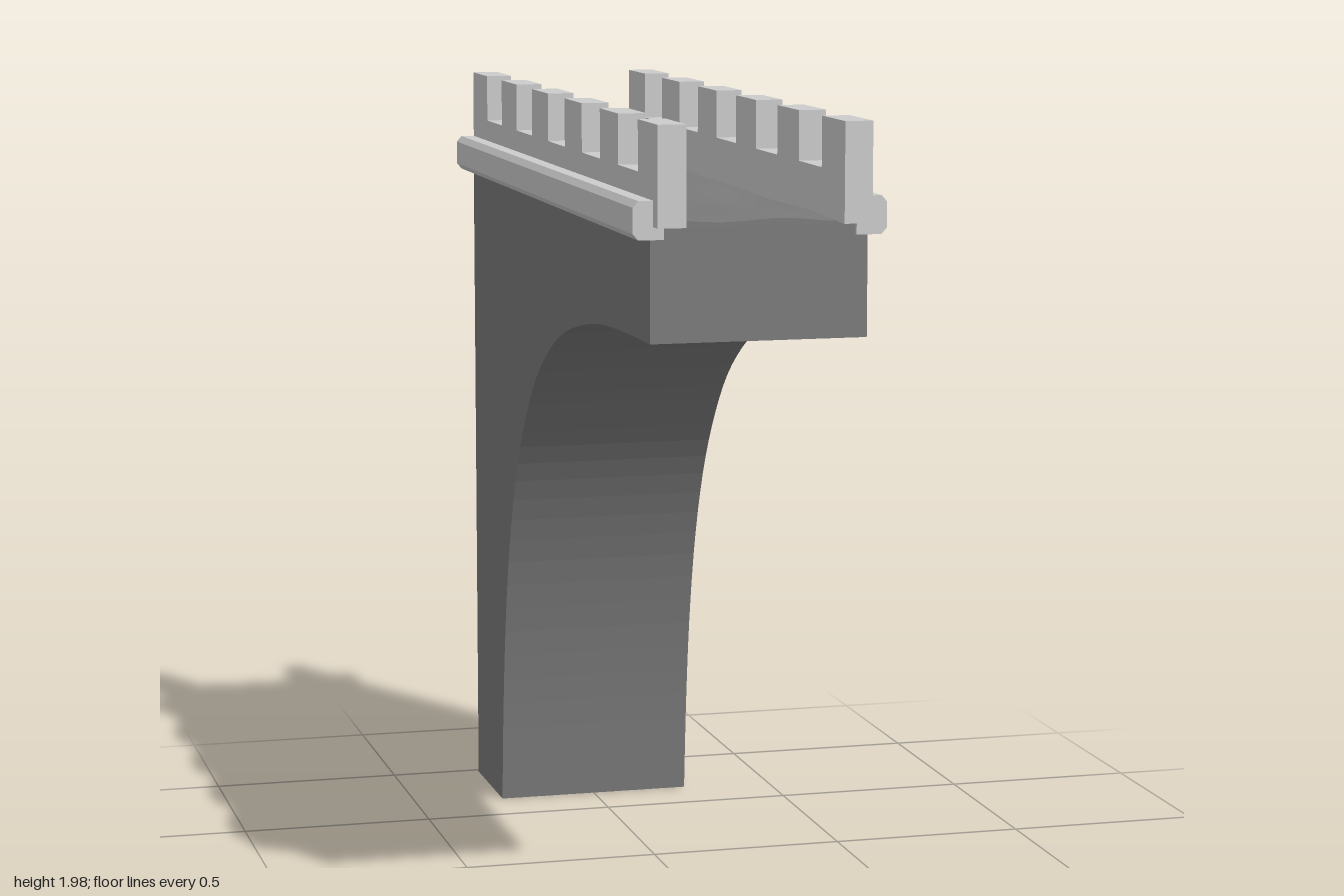
import * as THREE from 'three';

const trim = new THREE.MeshStandardMaterial({ color: 0xcccccc });
const stone = new THREE.MeshStandardMaterial({ color: 0x7a7a7a });

// Extrude a side outline given in (z, y) across x, from x0 to x1
function sideExtrude(points, x0, x1) {
  const shape = new THREE.Shape(points.map(([z, y]) => new THREE.Vector2(-z, y)));
  const geo = new THREE.ExtrudeGeometry(shape, { depth: x1 - x0, bevelEnabled: false });
  return geo.rotateY(Math.PI / 2).translate(x0, 0, 0);
}

function addMesh(parent, name, geo, mat) {
  const mesh = new THREE.Mesh(geo, mat);
  mesh.name = name;
  parent.add(mesh);
  return mesh;
}

// Half arch: pier at the back, springing forward to a thin span
function archGeometry() {
  const curve = new THREE.SplineCurve([
    [0.95, 1.475], [0.7, 1.473], [0.45, 1.46], [0.2, 1.42], [0, 1.36], [-0.2, 1.25],
    [-0.34, 1.12], [-0.46, 0.95], [-0.55, 0.74], [-0.61, 0.5], [-0.645, 0.25], [-0.665, 0],
  ].map(([z, y]) => new THREE.Vector2(z, y)));
  const soffit = curve.getPoints(40).map((p) => [p.x, p.y]);
  return sideExtrude([...soffit, [-0.98, 0], [-0.98, 1.74], [0.95, 1.74]], -0.26, 0.26);
}

// Slightly worn, uneven walkway
function deckGeometry() {
  const geo = new THREE.BoxGeometry(0.5, 0.03, 1.93, 16, 1, 40);
  const pos = geo.attributes.position;
  for (let i = 0; i < pos.count; i++) {
    if (pos.getY(i) < 0) continue;
    const x = pos.getX(i), z = pos.getZ(i);
    pos.setY(i, 0.015 + 0.004 * Math.sin(x * 22 + 1.5 * Math.sin(z * 3)) + 0.003 * Math.sin(z * 9 + x * 5));
  }
  geo.computeVertexNormals();
  return geo.translate(0, 1.737, -0.015);
}

// Crenellated wall outline: six merlons, five gaps
function parapetGeometry(x0, x1) {
  const count = 6, width = 0.18, pitch = (2 - width) / (count - 1);
  const outline = [[-1, 1.745]];
  for (let i = 0; i < count; i++) {
    const a = -1 + i * pitch, b = a + width;
    if (i > 0) outline.push([a, 1.86]);
    outline.push([a, 1.98], [b, 1.98]);
    if (i < count - 1) outline.push([b, 1.86]);
  }
  outline.push([1, 1.745]);
  return sideExtrude(outline, x0, x1);
}

// Chamfered string course along the outer face
function mouldingGeometry(side) {
  const section = [
    [0.23, 1.715], [0.29, 1.715], [0.303, 1.73], [0.303, 1.79], [0.29, 1.805], [0.23, 1.805],
  ];
  const shape = new THREE.Shape(section.map(([x, y]) => new THREE.Vector2(side * x, y)));
  return new THREE.ExtrudeGeometry(shape, { depth: 1.96, bevelEnabled: false }).translate(0, 0, -1);
}

export function createModel() {
  const model = new THREE.Group();
  model.name = 'halfArchBridge';
  addMesh(model, 'archBody', archGeometry(), stone);
  addMesh(model, 'walkway', deckGeometry(), stone);

  for (const side of [1, -1]) {
    const wall = new THREE.Group();
    wall.name = side > 0 ? 'leftWall' : 'rightWall';
    const [x0, x1] = side > 0 ? [0.188, 0.255] : [-0.255, -0.188];
    addMesh(wall, 'parapet', parapetGeometry(x0, x1), trim);
    addMesh(wall, 'moulding', mouldingGeometry(side), trim);
    model.add(wall);
  }
  return model;
}
